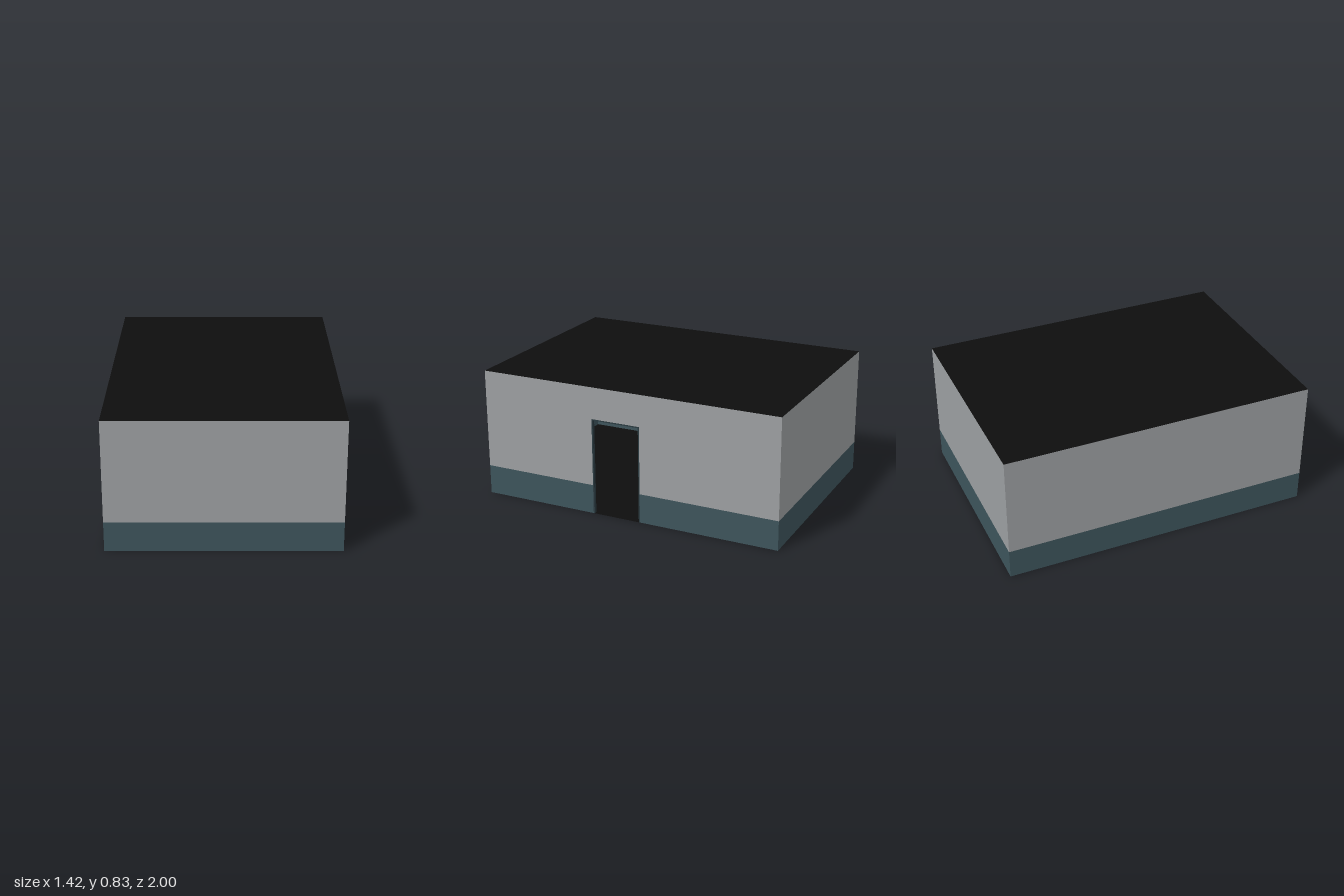
import * as THREE from 'three';

const W = 1.424, D = 2, H = 0.833, BAND = 0.19;      // room size and painted band height
const DOOR = { back: -0.09, front: 0.236, top: 0.628 };

function material(name, color, side = THREE.DoubleSide) {
  const m = new THREE.MeshStandardMaterial({ color, side });
  m.name = name;
  return m;
}

export function createModel() {
  const room = new THREE.Group();
  room.name = 'room';
  const grey = material('wallGrey', 0x9c9fa1);
  const teal = material('bandTeal', 0x3d545b);
  const black = material('slabBlack', 0x0d0d0d);
  const dark = material('frameDarkTeal', 0x2a3b41, THREE.FrontSide);

  const add = (parent, name, geometry, mat) => {
    const mesh = new THREE.Mesh(geometry, mat);
    mesh.name = name;
    parent.add(mesh);
    return mesh;
  };

  // One wall panel in its own plane, spanning u0..u1 and y0..y1
  const panel = (parent, name, u0, u1, y0, y1, mat) => {
    const g = new THREE.PlaneGeometry(u1 - u0, y1 - y0);
    g.translate((u0 + u1) / 2, (y0 + y1) / 2, 0);
    return add(parent, name, g, mat);
  };

  // Wall turned to face outward; u runs to the right seen from outside
  const wall = (name, x, z, turn) => {
    const g = new THREE.Group();
    g.name = name;
    g.position.set(x, 0, z);
    g.rotation.y = turn;
    room.add(g);
    return g;
  };

  // Solid walls: front, back and right side
  for (const [name, x, z, turn, width] of [
    ['frontWall', 0, D / 2, 0, W],
    ['backWall', 0, -D / 2, Math.PI, W],
    ['rightWall', -W / 2, 0, -Math.PI / 2, D],
  ]) {
    const g = wall(name, x, z, turn);
    panel(g, 'lowerBand', -width / 2, width / 2, 0, BAND, teal);
    panel(g, 'upperWall', -width / 2, width / 2, BAND, H, grey);
  }

  // Left wall with the doorway; here u = -z
  const doorWall = wall('doorWall', W / 2, 0, Math.PI / 2);
  const u0 = -DOOR.front, u1 = -DOOR.back;
  for (const [a, b] of [[-D / 2, u0], [u1, D / 2]]) {
    panel(doorWall, 'lowerBand', a, b, 0, BAND, teal);
    panel(doorWall, 'upperWall', a, b, BAND, H, grey);
  }
  panel(doorWall, 'wallAboveDoor', u0, u1, DOOR.top, H, grey);

  // Slim frame lining the doorway
  const T = 0.008, DEPTH = 0.02;
  const frame = new THREE.Group();
  frame.name = 'doorFrame';
  doorWall.add(frame);
  for (const u of [u0 + T / 2, u1 - T / 2]) {
    add(frame, 'doorJamb', new THREE.BoxGeometry(T, DOOR.top, DEPTH), dark)
      .position.set(u, DOOR.top / 2, -DEPTH / 2);
  }
  add(frame, 'doorLintel', new THREE.BoxGeometry(u1 - u0 - 2 * T, T, DEPTH), dark)
    .position.set((u0 + u1) / 2, DOOR.top - T / 2, -DEPTH / 2);

  // Floor and ceiling
  for (const [name, y] of [['floor', 0], ['ceiling', H]]) {
    const g = new THREE.PlaneGeometry(W, D).rotateX(-Math.PI / 2);
    add(room, name, g, black).position.y = y;
  }
  return room;
}
